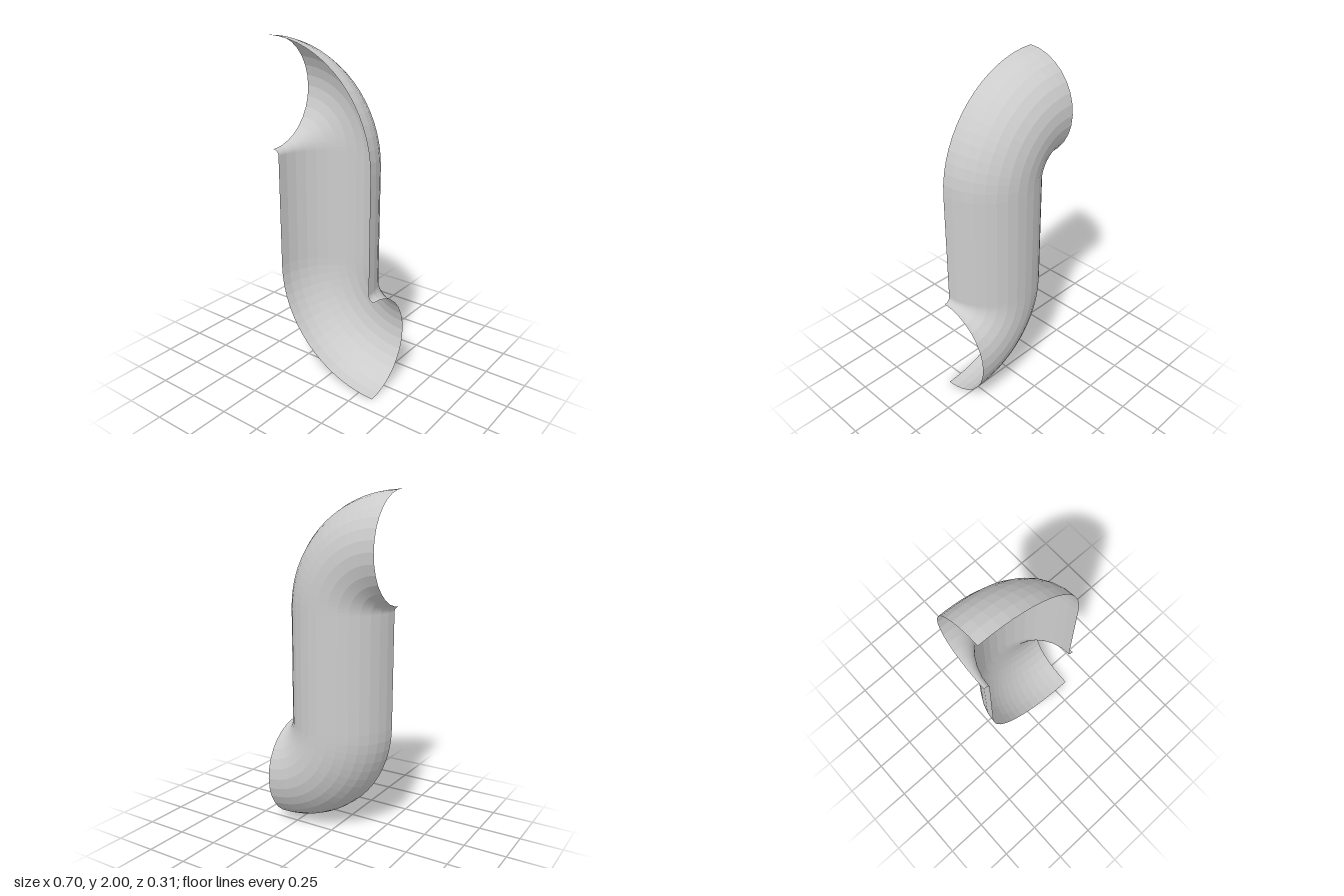
import * as THREE from 'three';

const R = 0.313;          // pipe radius
const BEND = 0.348;       // radius of the elbow centre line
const Z = R / 2;          // plane of the open front
const TOP = 2 - BEND - R; // height where the upper elbow starts
const SEG = 16;

const material = new THREE.MeshStandardMaterial({
  color: 0xcccccc, flatShading: true, side: THREE.DoubleSide,
});

// Quarter bend of a half pipe, made by wrapping a grid around a torus section
function elbowGeometry() {
  const geo = new THREE.PlaneGeometry(1, 1, SEG, SEG);
  const { position, uv } = geo.attributes;
  for (let i = 0; i < position.count; i++) {
    const bend = uv.getX(i) * Math.PI / 2;
    const around = (1 - uv.getY(i)) * Math.PI;
    const rho = BEND + R * Math.cos(around);
    position.setXYZ(i,
      rho * Math.cos(bend) - BEND,
      rho * Math.sin(bend),
      Z - R * Math.sin(around));
  }
  geo.computeVertexNormals();
  return geo;
}

export function createModel() {
  const group = new THREE.Group();
  group.name = 'halfPipe';

  // Straight trough, open to the front
  const height = 2 * (TOP - 1);
  const straight = new THREE.Mesh(
    new THREE.CylinderGeometry(R, R, height, SEG, 1, true, Math.PI / 2, Math.PI), material);
  straight.name = 'straightPipe';
  straight.position.set(0, 1, Z);
  group.add(straight);

  // Upper elbow turns to -x; the lower one is the same turned half round
  const elbow = elbowGeometry();
  for (const [name, y, turn] of [['upperElbow', TOP, 0], ['lowerElbow', 2 - TOP, Math.PI]]) {
    const mesh = new THREE.Mesh(elbow, material);
    mesh.name = name;
    mesh.position.y = y;
    mesh.rotation.z = turn;
    group.add(mesh);
  }
  return group;
}
